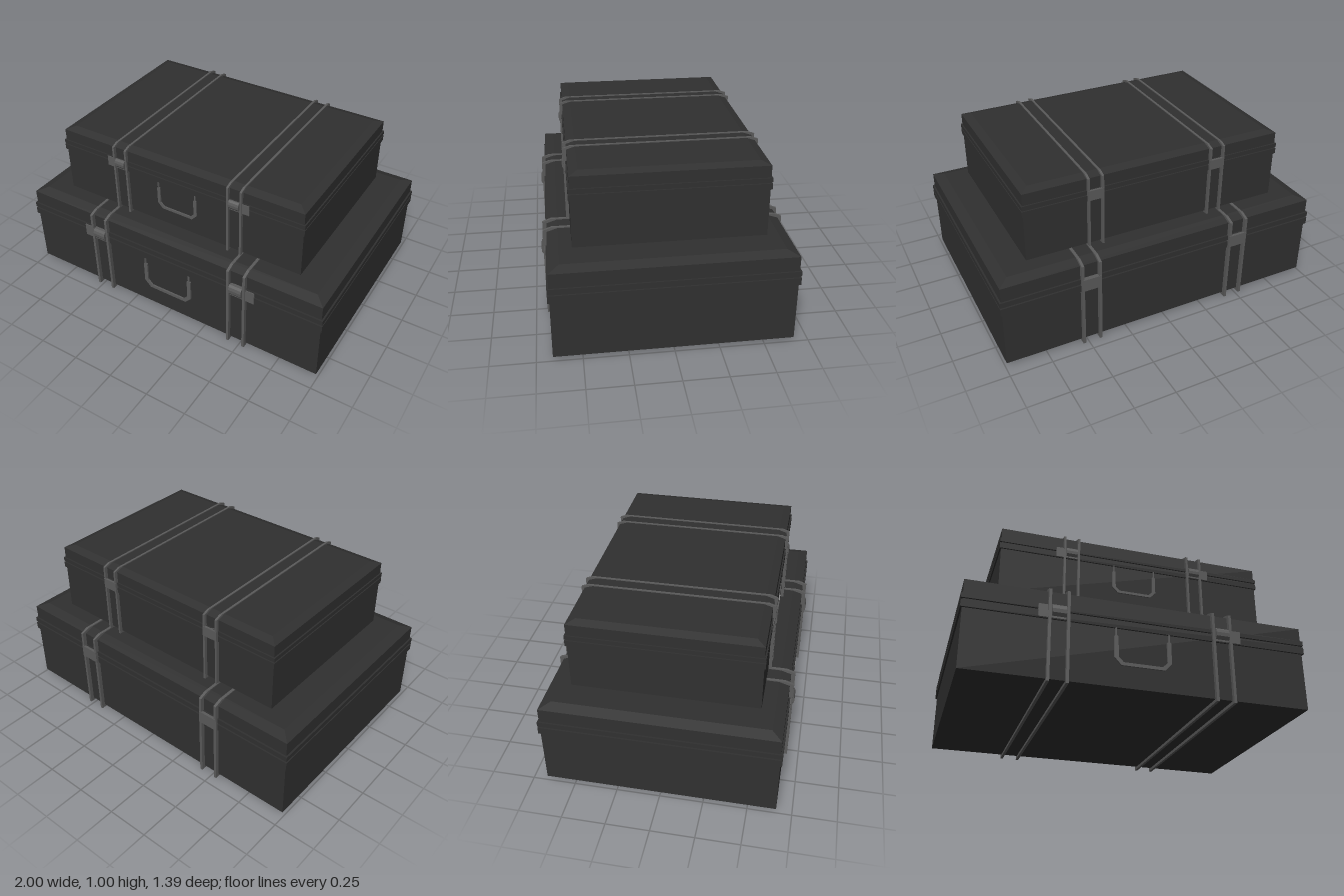
import * as THREE from 'three';
import { ConvexGeometry } from 'three/addons/geometries/ConvexGeometry.js';

const leather = new THREE.MeshStandardMaterial({ color: 0x303030 });
leather.name = 'dark leather';
const metal = new THREE.MeshStandardMaterial({ color: 0x5a5a5a });
metal.name = 'grey metal';

function add(parent, name, geometry, material) {
  const mesh = new THREE.Mesh(geometry, material);
  mesh.name = name;
  parent.add(mesh);
  return mesh;
}

// Box given by its low and high corners
function box(x0, x1, y0, y1, z0, z1) {
  return new THREE.BoxGeometry(x1 - x0, y1 - y0, z1 - z0)
    .translate((x0 + x1) / 2, (y0 + y1) / 2, (z0 + z1) / 2);
}

const toPoints = (list) => list.map(([a, b]) => new THREE.Vector2(a, b));

// Extrudes a (z, y) outline along x, centred on x
function sideExtrude(outline, hole, width, x) {
  const shape = new THREE.Shape(toPoints(outline));
  if (hole) shape.holes.push(new THREE.Path(toPoints(hole)));
  return new THREE.ExtrudeGeometry(shape, { depth: width, bevelEnabled: false })
    .translate(0, 0, -width / 2)
    .rotateY(-Math.PI / 2)
    .translate(x, 0, 0);
}

// Case shell with sloping lid edges
function shellGeometry() {
  const points = [];
  for (const [x, y, z] of [[0.99, 0.02, 0.665], [0.99, 0.535, 0.665], [0.93, 0.555, 0.605]]) {
    for (const sx of [-1, 1]) for (const sz of [-1, 1]) {
      points.push(new THREE.Vector3(x * sx, y, z * sz));
    }
  }
  return new ConvexGeometry(points);
}

// Closed loop running round the case from front to back
function strapGeometry(x) {
  const outer = [[-0.688, 0], [0.688, 0], [0.688, 0.543], [0.638, 0.561], [-0.638, 0.561], [-0.688, 0.543]];
  const inner = [[-0.663, 0.018], [-0.663, 0.533], [-0.605, 0.553], [0.605, 0.553], [0.663, 0.533], [0.663, 0.018]];
  return sideExtrude(outer, inner, 0.016, x);
}

// Flat U-shaped carrying handle hanging on the front
function handleGeometry() {
  const right = [[0.15, 0.37], [0.158, 0.37], [0.158, 0.322], [0.165, 0.318], [0.165, 0.19], [0.125, 0.147]];
  const inside = [[0.112, 0.166], [0.141, 0.196], [0.141, 0.318], [0.15, 0.322]];
  const mirror = (list) => list.map(([x, y]) => [-x, y]).reverse();
  const outline = [...right, ...mirror(right), ...mirror(inside), ...inside];
  // Reorder so the outline walks round the U: outer edge, then inner edge
  const loop = [...right, ...mirror(right), ...mirror(inside), ...inside];
  return new THREE.ExtrudeGeometry(new THREE.Shape(toPoints(outline.length ? loop : [])), {
    depth: 0.012, bevelEnabled: false,
  }).translate(0, 0, 0.663);
}

function createCase(name) {
  const suitcase = new THREE.Group();
  suitcase.name = name;
  add(suitcase, 'shell', shellGeometry(), leather);

  // Raised rims on either side of the lid seam
  add(suitcase, 'lowerRim', box(-1, 1, 0.367, 0.41, -0.675, 0.675), leather);
  add(suitcase, 'upperRim', box(-1, 1, 0.42, 0.45, -0.675, 0.675), leather);

  add(suitcase, 'handle', handleGeometry(), metal);

  for (const side of [-1, 1]) {
    const fittings = new THREE.Group();
    fittings.name = side > 0 ? 'leftFittings' : 'rightFittings';
    suitcase.add(fittings);

    for (const x of [0.424, 0.528]) add(fittings, 'strap', strapGeometry(side * x), metal);

    // Front latch: flat plate with a rounded buckle
    const edges = [side * 0.435, side * 0.59].sort((a, b) => a - b);
    add(fittings, 'latchPlate', box(...edges, 0.37, 0.447, 0.66, 0.681), metal);
    const buckle = [[0.66, 0.382], [0.686, 0.382], [0.697, 0.398], [0.699, 0.42], [0.694, 0.438], [0.684, 0.45], [0.66, 0.45]];
    add(fittings, 'latchBuckle', sideExtrude(buckle, null, 0.08, side * 0.476), metal);

    // Back hinge between the two straps
    const hinge = [side * 0.417, side * 0.535].sort((a, b) => a - b);
    add(fittings, 'hinge', box(...hinge, 0.375, 0.45, -0.691, -0.66), metal);
  }
  return suitcase;
}

export function createModel() {
  const model = new THREE.Group();
  model.name = 'stackedSuitcases';
  const large = createCase('largeSuitcase');
  const small = createCase('smallSuitcase');
  small.scale.setScalar(0.8);
  small.position.y = 0.554;
  model.add(large, small);
  for (const suitcase of [large, small]) suitcase.position.z = -0.004;
  return model;
}
